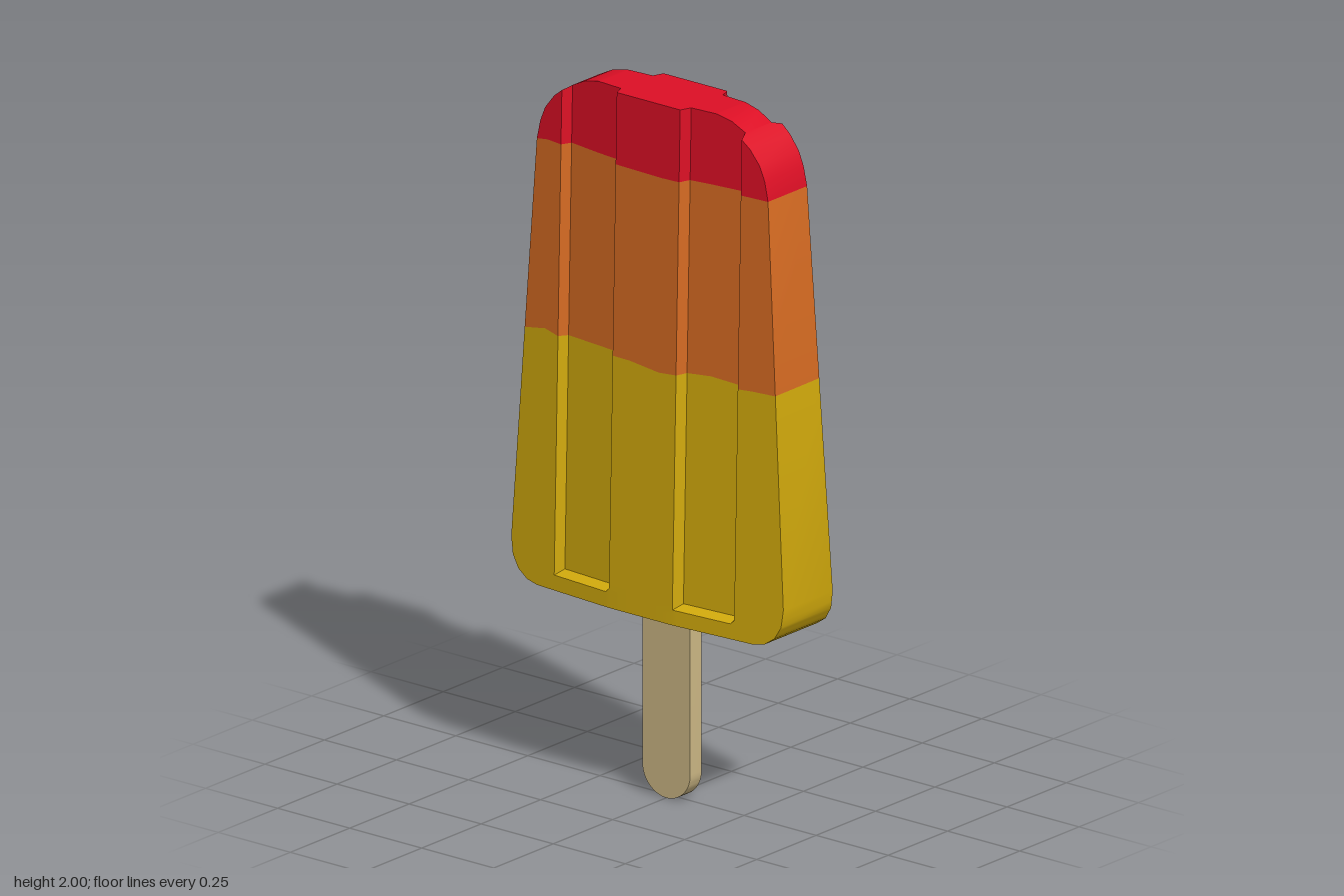
import * as THREE from 'three';
import { toCreasedNormals } from 'three/addons/utils/BufferGeometryUtils.js';

const { clamp } = THREE.MathUtils;

function paint(name, color) {
  const m = new THREE.MeshStandardMaterial({ color });
  m.name = name;
  return m;
}

// Piecewise linear lookup through [input, output] pairs
function lerpTable(table, t) {
  for (let i = 1; i < table.length; i++) {
    const [a, va] = table[i - 1], [b, vb] = table[i];
    if (t <= b) return va + (vb - va) * clamp((t - a) / (b - a), 0, 1);
  }
  return table[table.length - 1][1];
}

// Half width of the ice at each height
const OUTLINE = [
  [0.545, 0.375], [0.553, 0.412], [0.575, 0.444], [0.61, 0.465], [0.66, 0.472],
  [1.8, 0.401], [1.855, 0.389], [1.895, 0.372], [1.935, 0.34], [1.965, 0.302],
  [1.989, 0.255], [2, 0.205],
];

// Wavy colour borders: offset in height across the width
const LOW_WAVE = [[-0.44, 0], [-0.36, 0.015], [-0.3, 0.002], [-0.05, -0.002], [0.05, -0.013],
  [0.2, 0], [0.3, -0.006], [0.36, -0.002], [0.44, 0]];
const HIGH_WAVE = [[-0.4, 0], [-0.36, 0.006], [-0.2, -0.001], [0.05, -0.006], [0.25, 0], [0.4, 0]];

// Half depth: tapers upward and outward, with two grooves cut in
function depth(x, y) {
  const ax = Math.abs(x);
  const face = 0.133 - (y - 0.545) * 0.0235 - 0.073 * Math.max(0, ax - 0.11);
  const groove = clamp((ax - 0.11) / 0.012, 0, 1) * clamp((0.312 - ax) / 0.012, 0, 1)
    * clamp((y - 0.588) / 0.012, 0, 1);
  return face - 0.031 * groove;
}

function iceGeometry() {
  const half = [0.05, 0.11, 0.122, 0.2, 0.3, 0.312, 0.36, 1];
  const columns = [...half.map((x) => -x).reverse(), 0, ...half];
  const n = columns.length;

  // Rows: [height, border wave]
  const rows = [0.545, 0.553, 0.575, 0.588, 0.6, 0.61, 0.63, 0.66].map((y) => [y]);
  rows.push([1.258, LOW_WAVE], [1.8, HIGH_WAVE]);
  [1.855, 1.895, 1.935, 1.957, 1.966, 1.989, 2].forEach((y) => rows.push([y]));

  // Each ring runs along the front, then back along the rear
  const rings = rows.map(([y, wave]) => {
    const w = lerpTable(OUTLINE, y);
    const front = columns.map((c) => {
      const x = clamp(c, -w, w);
      const py = y + (wave ? lerpTable(wave, x) : 0);
      return new THREE.Vector3(x, py, depth(x, py));
    });
    return [...front, ...front.map((p) => new THREE.Vector3(-p.x, p.y, -p.z))];
  });

  const positions = [];
  const geometry = new THREE.BufferGeometry();
  const tri = (a, b, c) => {
    const area = b.clone().sub(a).cross(c.clone().sub(a)).length();
    if (area > 1e-9) for (const p of [a, b, c]) positions.push(p.x, p.y, p.z);
  };
  const quad = (a, b, c, d) => { tri(a, b, c); tri(a, c, d); };
  const band = (material, build) => {
    const start = positions.length / 3;
    build();
    geometry.addGroup(start, positions.length / 3 - start, material);
  };
  const wall = (from, to) => {
    for (let j = from; j < to; j++) {
      for (let i = 0; i < 2 * n; i++) {
        const k = (i + 1) % (2 * n);
        quad(rings[j][i], rings[j][k], rings[j + 1][k], rings[j + 1][i]);
      }
    }
  };
  const cap = (r, up) => {
    for (let i = 0; i < n - 1; i++) {
      const q = [r[i], r[i + 1], r[2 * n - 2 - i], r[2 * n - 1 - i]];
      quad(...(up ? q : q.reverse()));
    }
  };
  band(0, () => { cap(rings[0], false); wall(0, 8); });
  band(1, () => wall(8, 9));
  band(2, () => { wall(9, rings.length - 1); cap(rings[rings.length - 1], true); });

  geometry.setAttribute('position', new THREE.Float32BufferAttribute(positions, 3));
  // Enlarged while creasing so that close vertices stay separate
  geometry.scale(100, 100, 100);
  const creased = toCreasedNormals(geometry, 0.6);
  creased.scale(0.01, 0.01, 0.01);
  return creased;
}

function stickGeometry() {
  const r = 0.083, thick = 0.048;
  const shape = new THREE.Shape();
  shape.moveTo(r, 0.6);
  shape.lineTo(-r, 0.6);
  shape.lineTo(-r, r);
  shape.absarc(0, r, r, Math.PI, 2 * Math.PI, false);
  shape.closePath();
  const g = new THREE.ExtrudeGeometry(shape, { depth: thick, bevelEnabled: false, curveSegments: 16 });
  g.translate(0, 0, -thick / 2);
  return toCreasedNormals(g, 0.6);
}

export function createModel() {
  const group = new THREE.Group();
  group.name = 'icePop';

  // Three-flavour ice body
  const ice = new THREE.Mesh(iceGeometry(), [
    paint('yellow ice', 0xd2aa0c),
    paint('orange ice', 0xd66b22),
    paint('red ice', 0xdd0f25),
  ]);
  ice.name = 'iceBody';

  // Wooden stick
  const stick = new THREE.Mesh(stickGeometry(), paint('wood', 0xcdb885));
  stick.name = 'stick';

  group.add(ice, stick);
  return group;
}
